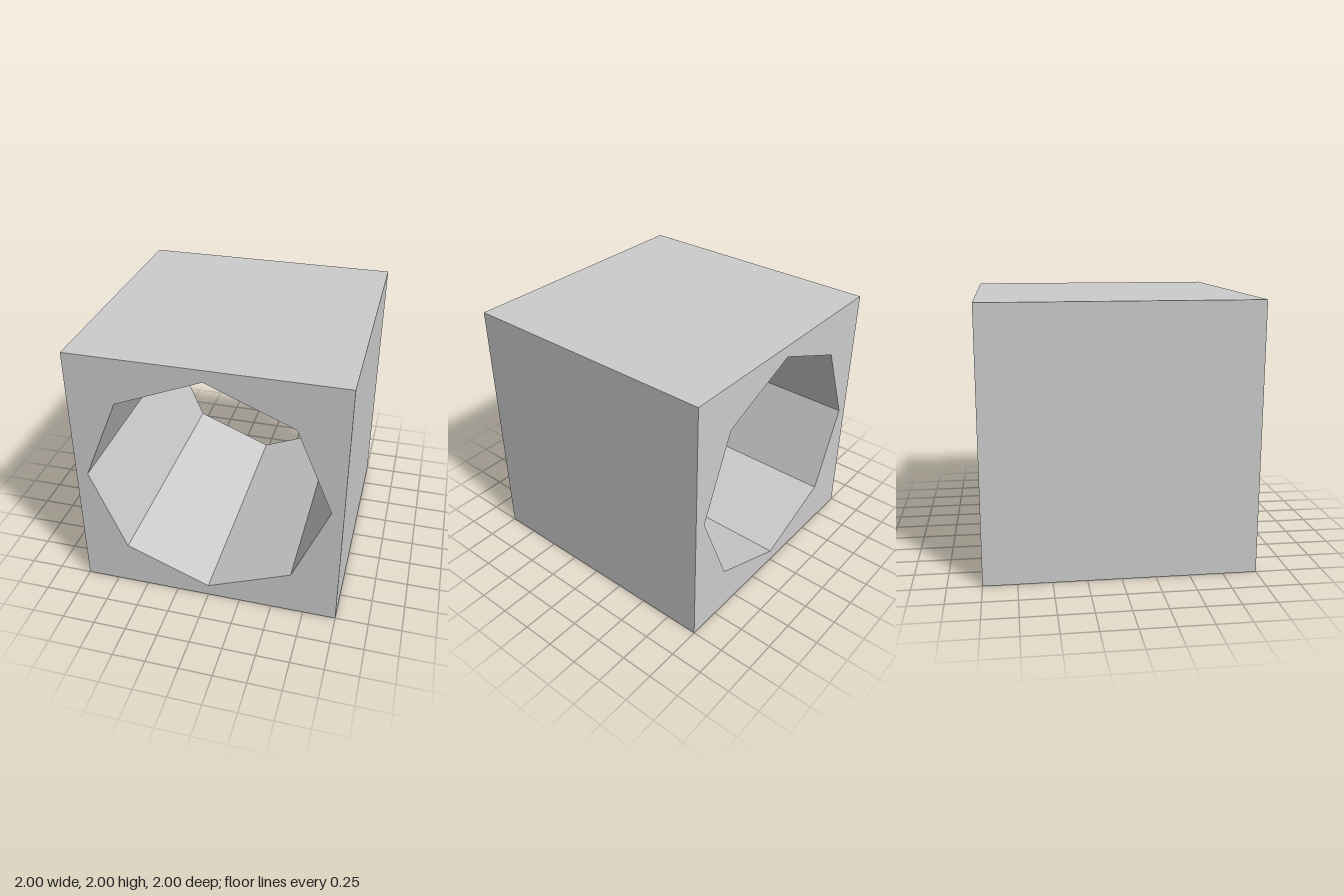
import * as THREE from 'three';

const SIZE = 2;
const HOLE_RADIUS = 0.91;
const HOLE_SIDES = 8;

export function createModel() {
  const group = new THREE.Group();
  group.name = 'boredCube';
  const h = SIZE / 2;

  // Square outline of the block
  const outline = new THREE.Shape([
    new THREE.Vector2(-h, -h),
    new THREE.Vector2(h, -h),
    new THREE.Vector2(h, h),
    new THREE.Vector2(-h, h),
  ]);

  // Octagonal through-hole, one corner pointing straight up
  const corners = [];
  for (let i = 0; i < HOLE_SIDES; i++) {
    const a = (-i / HOLE_SIDES) * Math.PI * 2;
    corners.push(new THREE.Vector2(Math.cos(a) * HOLE_RADIUS, Math.sin(a) * HOLE_RADIUS));
  }
  outline.holes.push(new THREE.Path(corners));

  // Extrude front to back, then stand it on the ground
  const geometry = new THREE.ExtrudeGeometry(outline, { depth: SIZE, bevelEnabled: false });
  geometry.translate(0, h, -h);

  const material = new THREE.MeshStandardMaterial({ color: 0xcccccc, flatShading: true });
  const block = new THREE.Mesh(geometry, material);
  block.name = 'blockWithOctagonalHole';
  group.add(block);
  return group;
}
